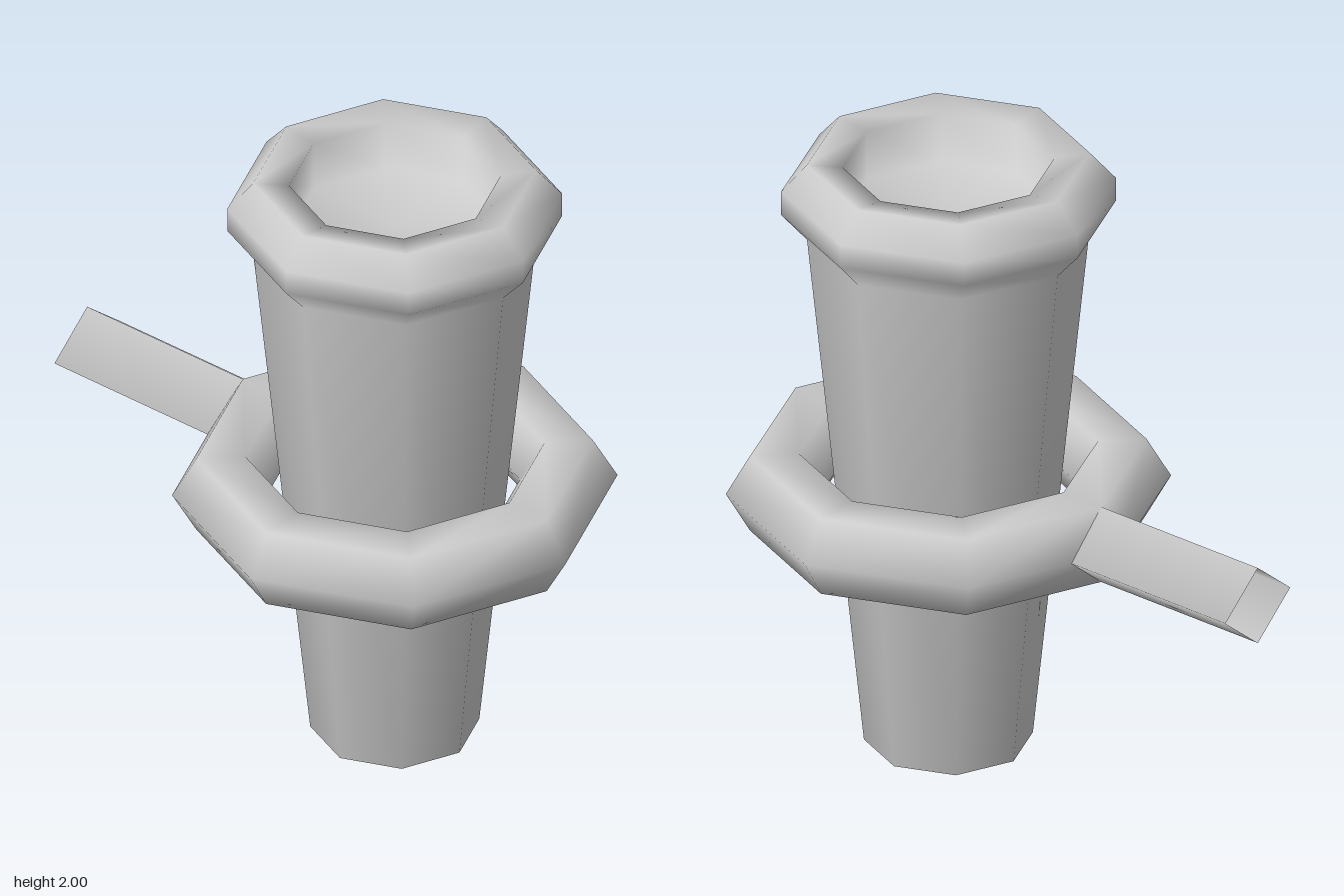
import * as THREE from 'three';

export function createModel() {
  const model = new THREE.Group();
  const material = new THREE.MeshStandardMaterial({ color: 0xcccccc, side: THREE.DoubleSide });
  const SIDES = 8;
  const axisZ = 0.275; // the torch and its ring share this upright axis

  const add = (name, geometry, x, y, z) => {
    const mesh = new THREE.Mesh(geometry, material);
    mesh.name = name;
    mesh.position.set(x, y, z);
    model.add(mesh);
  };

  // Torch: tapered shaft, bevelled rim and hollow bowl in one profile
  const profile = [
    [0, 0], [0.26, 0], [0.435, 1.74],
    [0.515, 1.83], [0.515, 1.91], [0.435, 2],
    [0.325, 1.985], [0.325, 1.82], [0, 1.82],
  ].map(([r, y]) => new THREE.Vector2(r, y));
  add('torch', new THREE.LatheGeometry(profile, SIDES), 0, 0, axisZ);

  // Holder ring: octagon with a hexagonal section
  const ring = new THREE.TorusGeometry(0.535, 0.15, 6, SIDES).rotateX(Math.PI / 2);
  add('holderRing', ring, 0, 0.87, axisZ);

  // Wall arm: open diamond-section tube running back from the ring
  const front = -0.27, back = -0.96;
  const arm = new THREE.CylinderGeometry(1, 1, front - back, 4, 1, true)
    .rotateX(Math.PI / 2)
    .scale(0.155, 0.13, 1);
  add('wallArm', arm, 0, 0.87, (front + back) / 2);

  return model;
}
